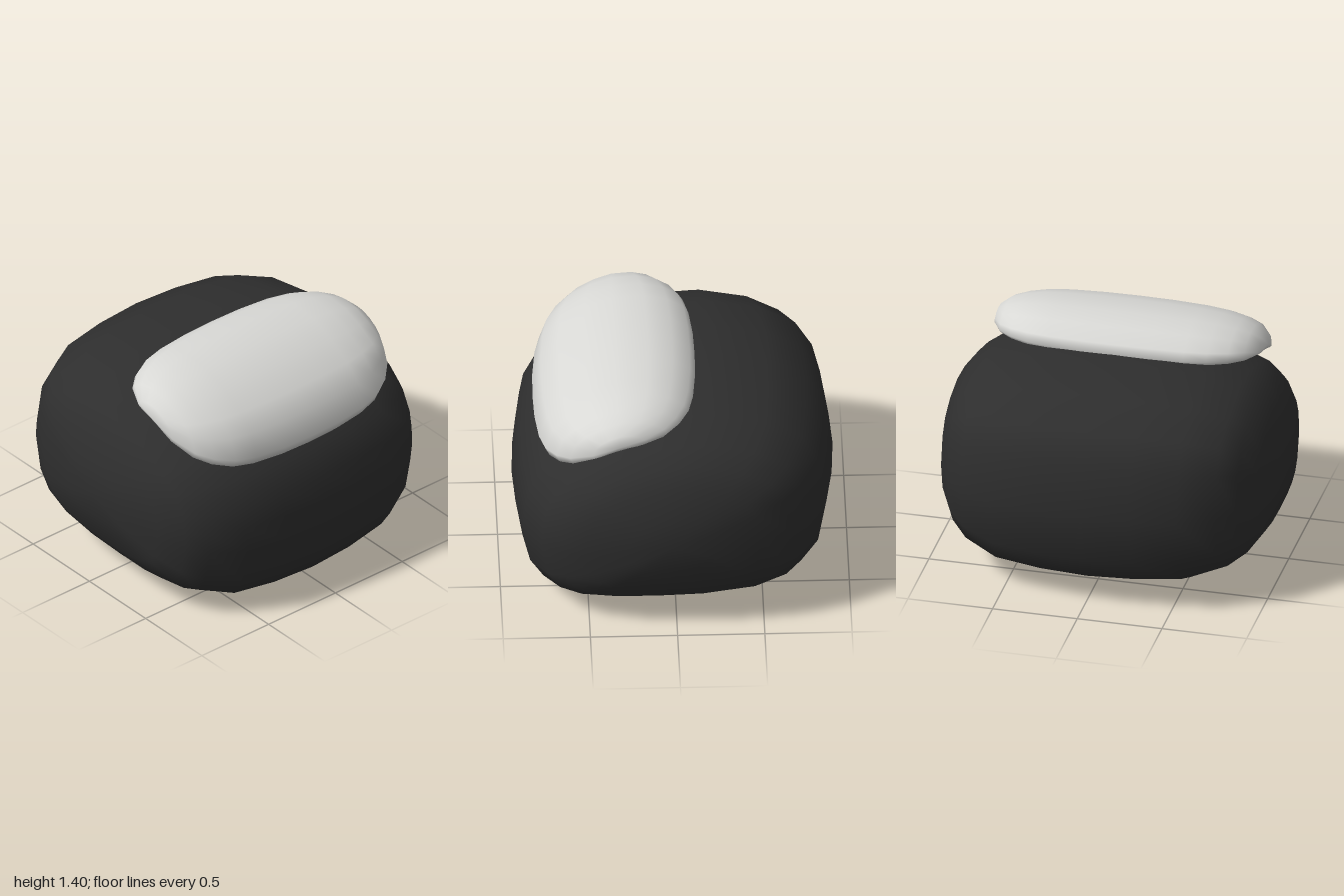
import * as THREE from 'three';

// Closed pillow: a front profile (counter-clockwise) repeated along z, shrinking towards a pole at each end.
// steps: [z, scale] from the middle outwards; round: how far the profile relaxes to an ellipse near the ends.
function pillow(profile, [cx, cy], steps, depth, round) {
  const n = profile.length;
  const xs = profile.map(p => Math.abs(p[0] - cx)), ys = profile.map(p => Math.abs(p[1] - cy));
  const a = Math.max(...xs), b = Math.max(...ys);
  const rings = [
    ...steps.slice().reverse(),
    ...steps.slice(1).map(([z, s]) => [-z, s]),
  ];
  const pos = [cx, cy, depth], index = [];
  for (const [z, s] of rings) {
    for (const [x, y] of profile) {
      const q = Math.hypot((x - cx) / a, (y - cy) / b);
      const k = s * THREE.MathUtils.lerp(1, 1 / q, round * (1 - s));
      pos.push(cx + (x - cx) * k, cy + (y - cy) * k, z);
    }
  }
  pos.push(cx, cy, -depth);
  const last = pos.length / 3 - 1, at = (i, j) => 1 + i * n + (j % n);
  for (let j = 0; j < n; j++) {
    index.push(0, at(0, j), at(0, j + 1));
    for (let i = 0; i < rings.length - 1; i++) {
      index.push(at(i, j), at(i + 1, j), at(i, j + 1));
      index.push(at(i, j + 1), at(i + 1, j), at(i + 1, j + 1));
    }
    index.push(last, at(rings.length - 1, j + 1), at(rings.length - 1, j));
  }
  const g = new THREE.BufferGeometry();
  g.setAttribute('position', new THREE.Float32BufferAttribute(pos, 3));
  g.setIndex(index);
  g.computeVertexNormals();
  return g;
}

export function createModel() {
  const group = new THREE.Group();
  const dark = new THREE.MeshStandardMaterial({ name: 'charcoal', color: 0x2e2e2e });
  const pale = new THREE.MeshStandardMaterial({ name: 'paleGrey', color: 0xd8d8d5 });

  // Rounded dark shell, its top sloping down towards +x
  const shellProfile = [
    [0.92, 0.45], [0.905, 0.6], [0.88, 0.74], [0.8, 0.9], [0.65, 1.03], [0.42, 1.15], [0.11, 1.24],
    [-0.22, 1.27], [-0.55, 1.21], [-0.77, 1.09], [-0.87, 0.92], [-0.92, 0.61],
    [-0.87, 0.31], [-0.77, 0.16], [-0.55, 0.06], [-0.22, 0.02], [0.11, 0.01],
    [0.42, 0], [0.65, 0.02], [0.8, 0.08], [0.88, 0.2],
  ];
  const shellSteps = [[0, 1], [0.28, 0.985], [0.55, 0.945], [0.75, 0.835], [0.85, 0.72], [0.93, 0.55], [0.985, 0.26]];
  const shell = new THREE.Mesh(pillow(shellProfile, [0.03, 0.62], shellSteps, 1, 0.6), dark);
  shell.name = 'shell';

  // Puffy pale pad resting on the slope
  const padProfile = [
    [0.8, 0.985], [0.75, 1.13], [0.65, 1.23], [0.5, 1.32], [0.33, 1.385], [0.14, 1.4],
    [0, 1.37], [-0.1, 1.31], [-0.13, 1.26], [-0.09, 1.22], [0.02, 1.18], [0.18, 1.14],
    [0.42, 1.06], [0.65, 0.965], [0.77, 0.925],
  ];
  const padSteps = [[0, 1], [0.2, 0.99], [0.4, 0.95], [0.53, 0.885], [0.64, 0.76], [0.72, 0.6], [0.78, 0.33]];
  const pad = new THREE.Mesh(pillow(padProfile, [0.32, 1.2], padSteps, 0.8, 0), pale);
  pad.name = 'pad';

  group.add(shell, pad);
  return group;
}
